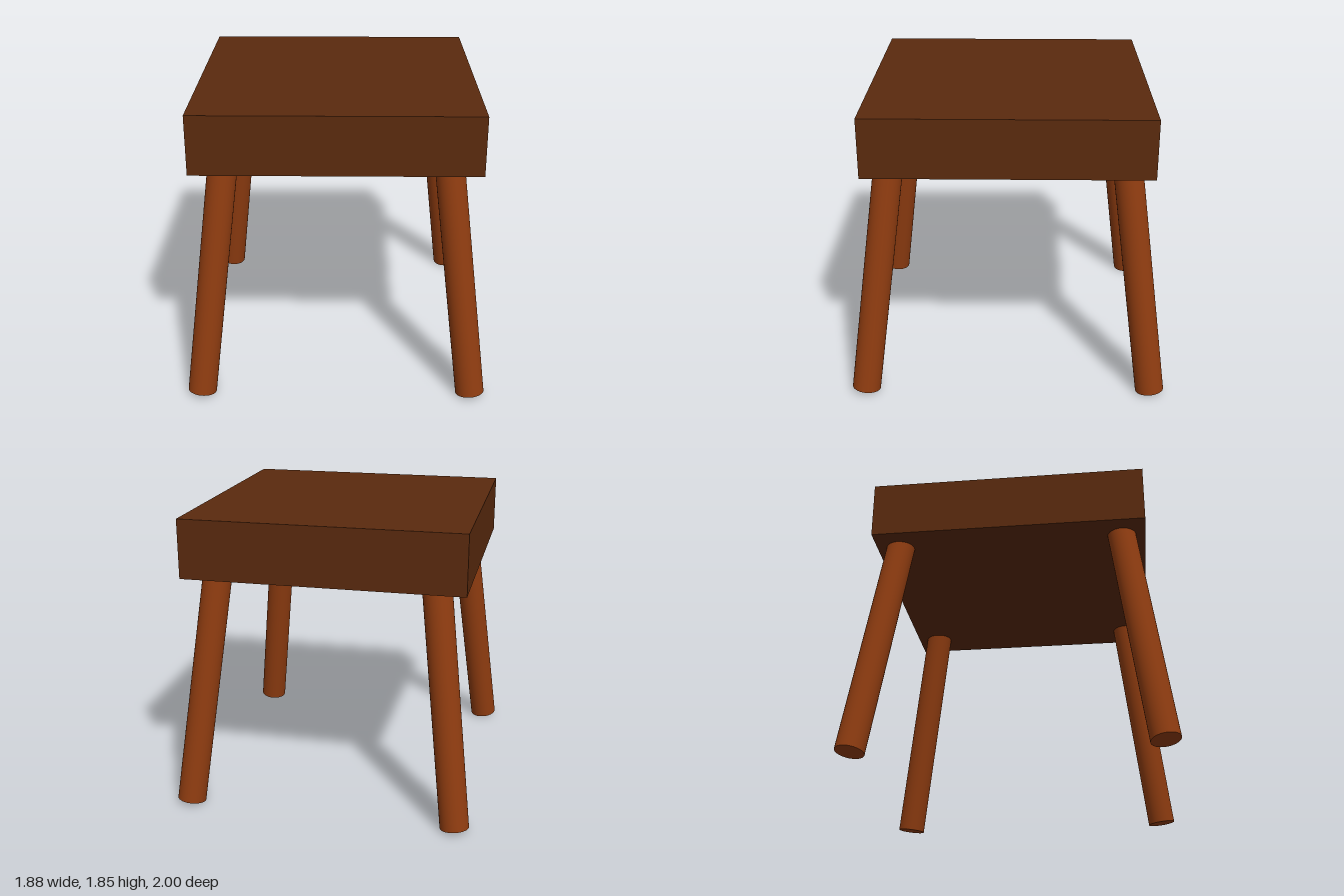
import * as THREE from 'three';

export function createModel() {
  const group = new THREE.Group();
  const seatMaterial = new THREE.MeshStandardMaterial({ color: 0x5a2a0e });
  const legMaterial = new THREE.MeshStandardMaterial({ color: 0x8f3c10 });

  // Thick square seat slab
  const seat = new THREE.Mesh(new THREE.BoxGeometry(1.74, 0.37, 1.74), seatMaterial);
  seat.name = 'seat';
  seat.position.y = 1.665;
  group.add(seat);

  // Four round legs splayed outwards, square-cut at the foot
  const up = new THREE.Vector3(0, 1, 0);
  for (const [sz, end] of [[1, 'front'], [-1, 'back']]) {
    for (const [sx, side] of [[1, 'Left'], [-1, 'Right']]) {
      const foot = new THREE.Vector3(0.852 * sx, 0.016, 0.91 * sz);
      const top = new THREE.Vector3(0.677 * sx, 1.5, 0.718 * sz);
      const axis = top.clone().sub(foot);
      const leg = new THREE.Mesh(new THREE.CylinderGeometry(0.09, 0.09, axis.length(), 32), legMaterial);
      leg.name = `${end}${side}Leg`;
      leg.position.copy(foot).add(top).multiplyScalar(0.5);
      leg.quaternion.setFromUnitVectors(up, axis.normalize());
      group.add(leg);
    }
  }
  return group;
}
